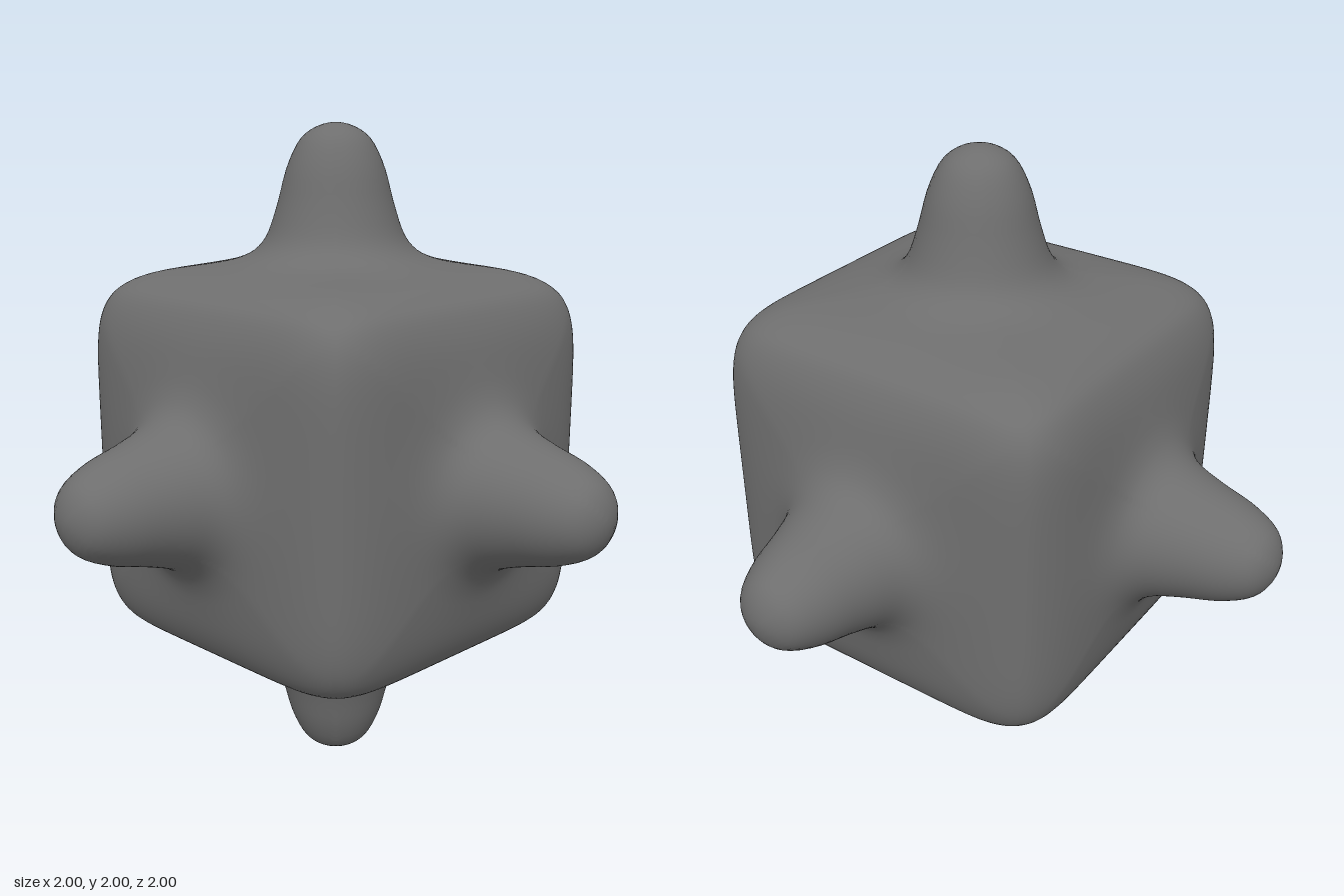
import * as THREE from 'three';
import { mergeVertices } from 'three/addons/utils/BufferGeometryUtils.js';

const HALF = 0.57; // half width of the rounded cube
const POWER = 6.8; // boxiness of the rounded cube

// Spike profile of one face: [distance from axis, 0 centre to 1 cube edge; height above the cube].
// The first and last points only steer the tangents at the two ends.
const profile = new THREE.SplineCurve([
  [-0.105, 0.416], [0, 0.43], [0.105, 0.416], [0.188, 0.378], [0.254, 0.3], [0.302, 0.2], [0.356, 0.11],
  [0.421, 0.062], [0.509, 0.034], [0.615, 0.018], [0.74, 0.007], [0.87, 0], [1, 0], [1.13, 0],
].map(([r, h]) => new THREE.Vector2(r, h)));
const spans = profile.points.length - 1;

// Maps a point (u, v) of a flat face to [across, along, height] on the spiked face.
function shapeFace(u, v) {
  const s = Math.max(Math.abs(u), Math.abs(v));
  const { x: r, y: spike } = profile.getPoint((1 + s * (spans - 2)) / spans);
  const angle = s > 0 ? Math.min(Math.abs(u), Math.abs(v)) / s * Math.PI / 4 : 0;
  // rings are round on the spike and become square towards the cube edge
  const square = THREE.MathUtils.smoothstep(r, 0.42, 1);
  const major = r * THREE.MathUtils.lerp(Math.cos(angle), 1, square);
  const minor = r * THREE.MathUtils.lerp(Math.sin(angle), Math.tan(angle), square);
  // superellipsoid gives the cube its soft edges and corners
  const scale = HALF / (1 + major ** POWER + minor ** POWER) ** (1 / POWER);
  const uIsMajor = Math.abs(u) >= Math.abs(v);
  return [
    Math.sign(u) * scale * (uIsMajor ? major : minor),
    Math.sign(v) * scale * (uIsMajor ? minor : major),
    scale + spike,
  ];
}

export function createModel() {
  const group = new THREE.Group();
  group.name = 'spikedCube';

  // Subdivided cube whose six faces are all reshaped by the same rule
  const n = 72;
  const box = new THREE.BoxGeometry(2, 2, 2, n, n, n);
  const pos = box.attributes.position;
  const normal = box.attributes.normal;
  for (let i = 0; i < pos.count; i++) {
    const axis = [0, 1, 2].find((k) => Math.abs(normal.getComponent(i, k)) > 0.5);
    const a = (axis + 1) % 3;
    const b = (axis + 2) % 3;
    const [p, q, h] = shapeFace(pos.getComponent(i, a), pos.getComponent(i, b));
    pos.setComponent(i, a, p);
    pos.setComponent(i, b, q);
    pos.setComponent(i, axis, h * Math.sign(normal.getComponent(i, axis)));
  }

  // Weld the faces so shading is smooth across the cube edges
  box.deleteAttribute('normal');
  box.deleteAttribute('uv');
  box.clearGroups();
  const geometry = mergeVertices(box, 1e-4);
  geometry.computeVertexNormals();

  const body = new THREE.Mesh(geometry, new THREE.MeshStandardMaterial({ color: 0x6e6e6e }));
  body.name = 'bodyWithSpikes';
  body.position.y = 1;
  group.add(body);
  return group;
}
